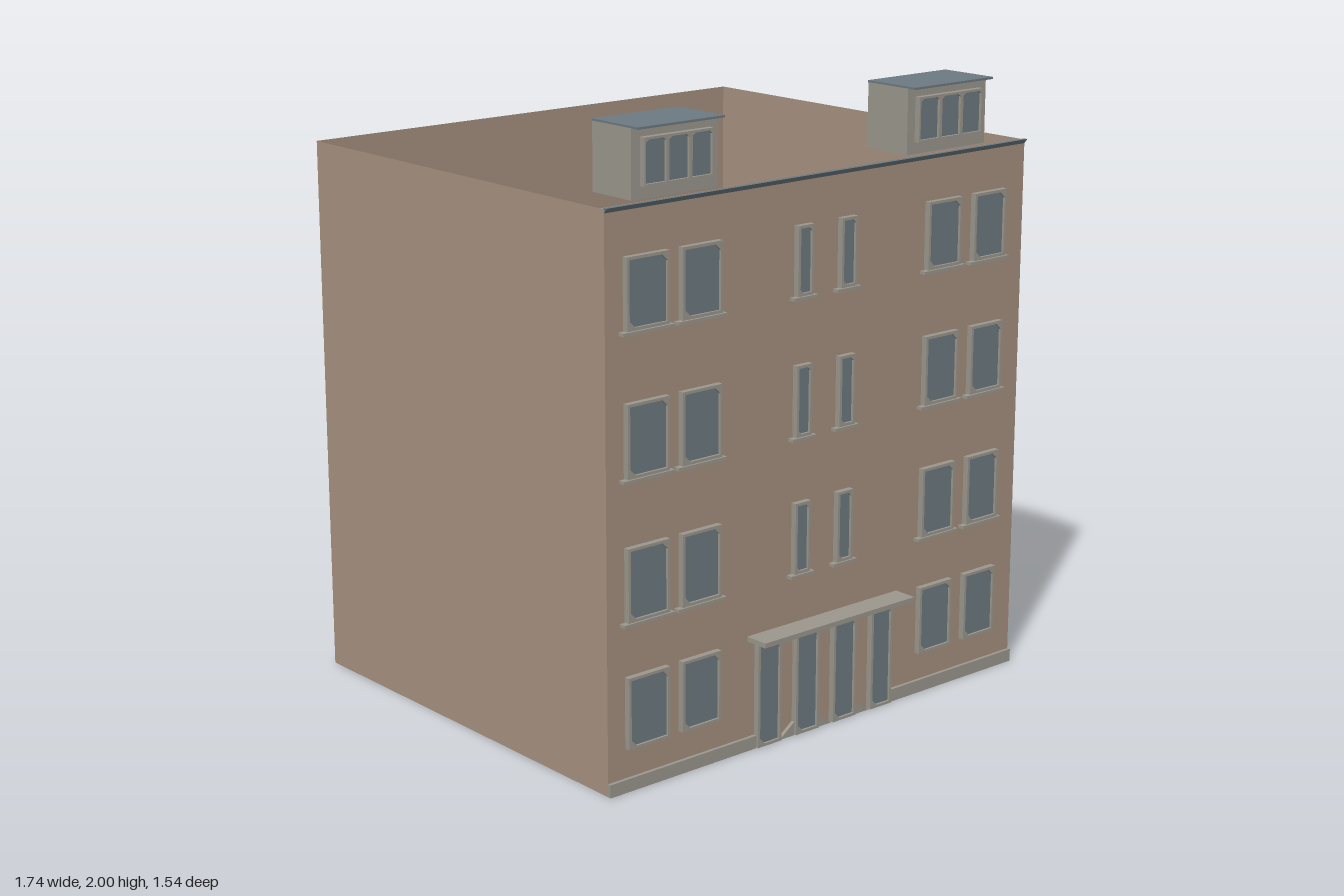
import * as THREE from 'three';

const mat = (name, color) => {
  const m = new THREE.MeshStandardMaterial({ color, side: THREE.DoubleSide });
  m.name = name;
  return m;
};

export function createModel() {
  const model = new THREE.Group();
  model.name = 'apartmentBuilding';
  const wall = mat('brownPlaster', 0xa6917f);
  const stone = mat('greyStone', 0x9b978d);
  const glass = mat('blueGreyGlass', 0x6c7a81);
  const W = 0.872, H = 1.785, BACK = -0.772, FRONT = 0.69;

  const add = (name, geometry, material, parent = model) => {
    const mesh = new THREE.Mesh(geometry, material);
    mesh.name = name;
    parent.add(mesh);
    return mesh;
  };
  // Box given by its limits on each axis
  const box = (name, material, x0, x1, y0, y1, z0, z1, parent) => {
    const g = new THREE.BoxGeometry(x1 - x0, y1 - y0, z1 - z0);
    g.translate((x0 + x1) / 2, (y0 + y1) / 2, (z0 + z1) / 2);
    return add(name, g, material, parent);
  };
  const group = (name) => {
    const g = new THREE.Group();
    g.name = name;
    model.add(g);
    return g;
  };
  const polygon = (points) => points.map(([x, y]) => new THREE.Vector2(x, y));
  const rect = (x0, x1, y0, y1) => polygon([[x0, y0], [x1, y0], [x1, y1], [x0, y1]]);

  // Open-topped shell: floor, back and sides are single sheets
  const depth = FRONT - BACK, midZ = (FRONT + BACK) / 2;
  const back = add('backWall', new THREE.PlaneGeometry(2 * W, H), wall);
  back.rotation.y = Math.PI;
  back.position.set(0, H / 2, BACK);
  for (const s of [-1, 1]) {
    const side = add(s > 0 ? 'leftWall' : 'rightWall', new THREE.PlaneGeometry(depth, H), wall);
    side.rotation.y = s * Math.PI / 2;
    side.position.set(s * W, H / 2, midZ);
  }
  const floor = add('floor', new THREE.PlaneGeometry(2 * W, depth), wall);
  floor.rotation.x = Math.PI / 2;
  floor.position.set(0, 0, midZ);

  // Front: thick outer bays around a thin centre bay
  box('frontBayRight', wall, -W, -0.31, 0, H, 0.672, FRONT);
  box('frontBayLeft', wall, 0.31, W, 0, H, 0.672, FRONT);
  box('frontBayCentre', wall, -0.31, 0.31, 0, H, FRONT - 0.004, FRONT);

  // Wedge-shaped cornice along the top edge
  const wedge = new THREE.Shape(polygon([[-0.686, 1.768], [-0.702, 1.788], [-0.686, 1.788]]));
  const cornice = new THREE.ExtrudeGeometry(wedge, { depth: 2 * W, bevelEnabled: false });
  cornice.rotateY(Math.PI / 2);
  cornice.translate(-W, 0, 0);
  add('cornice', cornice, glass);

  // Framed pane; the opening has two cut corners
  function framedWindow(name, x0, x1, y0, y1, border = 0.009) {
    const g = group(name);
    const shape = new THREE.Shape(rect(x0, x1, y0, y1));
    const a = x0 + border, b = x1 - border, c = y0 + border, d = y1 - border;
    const cut = Math.min(0.02, (b - a) * 0.25);
    shape.holes.push(new THREE.Path(polygon(
      [[a + cut, c], [a, c + cut], [a, d], [b - cut, d], [b, d - cut], [b, c]])));
    const frame = new THREE.ExtrudeGeometry(shape, { depth: 0.02, bevelEnabled: false });
    frame.translate(0, 0, FRONT);
    add('windowFrame', frame, stone, g);
    box('windowPane', glass, a - 0.002, b + 0.002, c - 0.002, d + 0.002, FRONT + 0.004, FRONT + 0.012, g);
    return g;
  }

  // Window grid: wide pairs on four floors, narrow slots on the upper three
  const floors = [[1.422, 1.64], [0.98, 1.206], [0.538, 0.768], [0.137, 0.365]];
  const wide = [[-0.805, -0.645], [-0.595, -0.44], [0.422, 0.57], [0.63, 0.775]];
  const narrow = [[-0.137, -0.073], [0.044, 0.11]];
  floors.forEach(([y0, y1], i) => {
    const ground = i === 3;
    for (const [x0, x1] of ground ? wide : [...wide, ...narrow]) {
      const g = framedWindow('window', x0, x1, y0, y1);
      if (!ground) box('windowSill', stone, x0 - 0.017, x1 + 0.017, y0 - 0.012, y0 - 0.002, FRONT, 0.712, g);
    }
  });

  // Entrance doors, canopy and plinth
  const doors = [[-0.287, -0.188], [-0.126, -0.026], [0.036, 0.136], [0.203, 0.297]];
  for (const [x0, x1] of doors) framedWindow('entranceDoor', x0, x1, 0.002, 0.346);
  box('entranceCanopy', stone, -0.317, 0.33, 0.358, 0.374, FRONT, 0.772);
  box('plinthRight', stone, -W, -0.287, 0, 0.042, FRONT, 0.702);
  box('plinthLeft', stone, 0.297, W, 0, 0.042, FRONT, 0.702);
  for (let i = 0; i < 3; i++) {
    const x0 = doors[i][1], x1 = doors[i + 1][0];
    const tri = new THREE.Shape(polygon([[x0, 0], [x1, 0], [i === 0 ? x1 : x0, 0.045]]));
    const g = new THREE.ExtrudeGeometry(tri, { depth: 0.012, bevelEnabled: false });
    g.translate(0, 0, FRONT);
    add('doorKerb', g, stone);
  }

  // Rooftop dormers with a thin cap and a three-pane window
  for (const [x0, x1] of [[-0.735, -0.405], [0.38, 0.73]]) {
    const g = group('dormer');
    box('dormerBody', stone, x0, x1, H, 1.994, 0.47, 0.645, g);
    box('dormerRoof', glass, x0, x1, 1.993, 2, 0.467, 0.675, g);
    const a = x0 + 0.033, b = x1 - 0.033, step = (b - a) / 3;
    const shape = new THREE.Shape(rect(a, b, 1.823, 1.966));
    for (let i = 0; i < 3; i++) {
      const p = a + i * step + 0.006, q = a + (i + 1) * step - 0.006;
      shape.holes.push(new THREE.Path(polygon(
        [[p, 1.83], [p, 1.95], [p + 0.012, 1.959], [q - 0.012, 1.959], [q, 1.95], [q, 1.83]])));
    }
    const frame = new THREE.ExtrudeGeometry(shape, { depth: 0.02, bevelEnabled: false });
    frame.translate(0, 0, 0.645);
    add('dormerWindowFrame', frame, stone, g);
    box('dormerWindowPane', glass, a + 0.004, b - 0.004, 1.827, 1.962, 0.648, 0.656, g);
  }
  return model;
}
